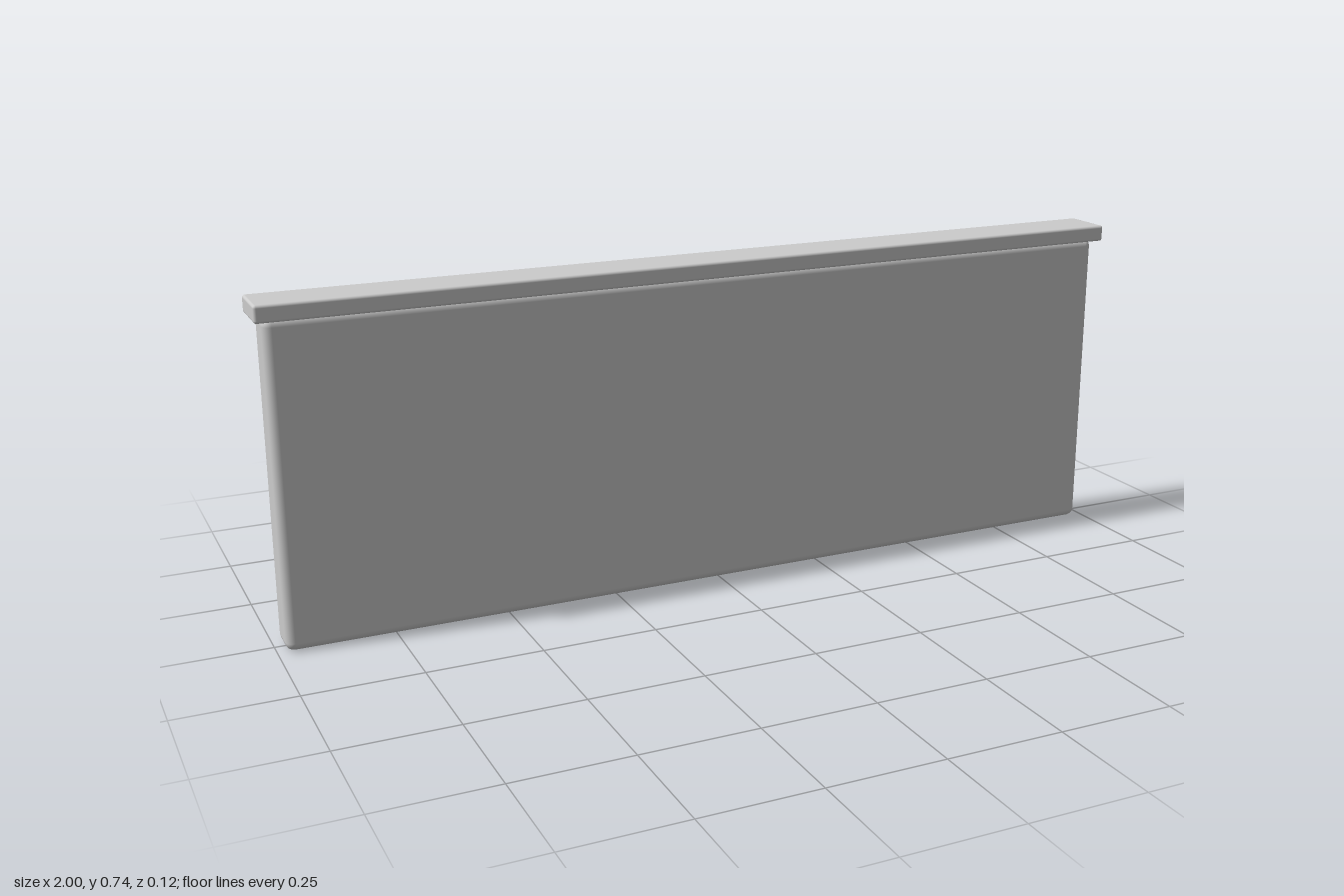
import * as THREE from 'three';
import { RoundedBoxGeometry } from 'three/addons/geometries/RoundedBoxGeometry.js';

export function createModel() {
  const group = new THREE.Group();
  group.name = 'cappedWall';
  const material = new THREE.MeshStandardMaterial({ color: 0xcccccc });

  // Rounded slab centred on x and z, spanning bottom to top
  function addSlab(name, width, bottom, top, depth, segments, radius) {
    const geometry = new RoundedBoxGeometry(width, top - bottom, depth, segments, radius);
    const mesh = new THREE.Mesh(geometry, material);
    mesh.name = name;
    mesh.position.y = (bottom + top) / 2;
    group.add(mesh);
  }

  // Tall thin panel with softened edges
  addSlab('wallPanel', 1.964, 0, 0.703, 0.087, 2, 0.018);
  // Slightly wider coping along the top
  addSlab('topCap', 2, 0.698, 0.735, 0.116, 2, 0.006);

  return group;
}
